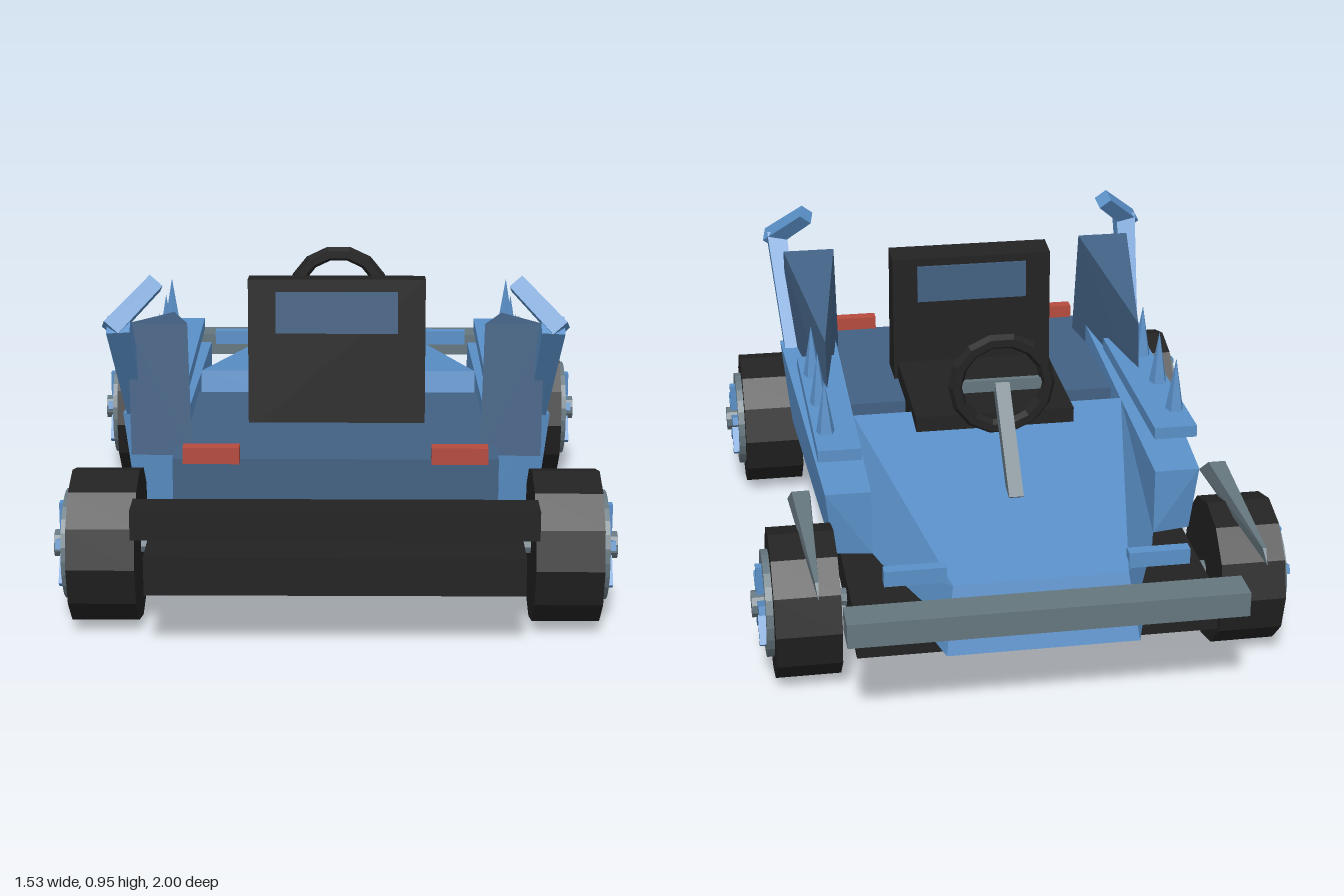
import * as THREE from 'three';
import { ConvexGeometry } from 'three/addons/geometries/ConvexGeometry.js';

const mat = (name, color) => {
  const m = new THREE.MeshStandardMaterial({ color });
  m.name = name;
  return m;
};

export function createModel() {
  const blue = mat('body blue', 0x5a90c8);
  const darkBlue = mat('deck blue', 0x426183);
  const grey = mat('metal grey', 0x65767e);
  const black = mat('rubber black', 0x222222);
  const red = mat('tail light red', 0xb64b3e);
  for (const m of [blue, darkBlue, grey, black, red]) m.flatShading = true;

  const car = new THREE.Group();
  car.name = 'buggy';

  const add = (name, geometry, material, parent = car) => {
    const mesh = new THREE.Mesh(geometry, material);
    mesh.name = name;
    parent.add(mesh);
    return mesh;
  };
  // Box given by its limits on each axis
  const box = (name, material, [x0, x1], [y0, y1], [z0, z1], parent) => {
    const g = new THREE.BoxGeometry(x1 - x0, y1 - y0, z1 - z0);
    g.translate((x0 + x1) / 2, (y0 + y1) / 2, (z0 + z1) / 2);
    return add(name, g, material, parent);
  };
  // Convex solid from corner points
  const solid = (name, material, points) =>
    add(name, new ConvexGeometry(points.map(p => new THREE.Vector3(...p))), material);
  // Side profile [z, y] spanning -w to w across the car
  const prism = (name, material, w, profile) =>
    solid(name, material, profile.flatMap(([z, y]) => [[-w, y, z], [w, y, z]]));
  // Tapered square bar between two points
  const bar = (name, material, from, to, w0, w1 = w0) => {
    const a = new THREE.Vector3(...from), b = new THREE.Vector3(...to);
    const g = new THREE.CylinderGeometry(w1 * Math.SQRT1_2, w0 * Math.SQRT1_2, a.distanceTo(b), 4);
    g.rotateY(Math.PI / 4);
    const mesh = add(name, g, material);
    mesh.position.copy(a).lerp(b, 0.5);
    mesh.quaternion.setFromUnitVectors(new THREE.Vector3(0, 1, 0), b.sub(a).normalize());
    return mesh;
  };

  // Chassis and bumpers
  box('floor', black, [-0.5, 0.5], [0.165, 0.27], [-0.83, 1]);
  box('rearBumper', black, [-0.535, 0.535], [0.31, 0.39], [0.88, 0.98]);
  box('frontBumper', grey, [-0.54, 0.54], [0.295, 0.365], [-1, -0.9]);

  // Hood tapering to the nose, and the rear deck
  solid('hood', blue, [-1, 1].flatMap(s => [
    [s * 0.265, 0.19, -0.9], [s * 0.24, 0.375, -0.85],
    [s * 0.41, 0.5, 0.03], [s * 0.41, 0.25, 0.08],
    [s * 0.5, 0.25, -0.05], [s * 0.42, 0.25, -0.43],
  ]));
  box('rearDeck', darkBlue, [-0.435, 0.435], [0.265, 0.475], [0.17, 0.8]);

  // Seat with a leaning back and an inset plate on both faces
  box('seatCushion', black, [-0.24, 0.235], [0.4, 0.53], [-0.085, 0.4]);
  prism('seatBack', black, 0.247, [[0.35, 0.45], [0.35, 0.87], [0.44, 0.88], [0.475, 0.45]]);
  prism('seatBackRearPlate', darkBlue, 0.17, [[0.43, 0.73], [0.43, 0.845], [0.45, 0.845], [0.46, 0.73]]);
  box('seatBackFrontPlate', darkBlue, [-0.17, 0.17], [0.73, 0.845], [0.343, 0.352]);

  // Steering
  const steeringWheel = add('steeringWheel', new THREE.TorusGeometry(0.135, 0.022, 6, 14), black);
  steeringWheel.position.set(0, 0.675, -0.207);
  box('steeringSpoke', grey, [-0.125, 0.125], [0.655, 0.69], [-0.215, -0.197]);
  bar('steeringColumn', grey, [0, 0.67, -0.205], [0, 0.42, -0.45], 0.042);

  for (const s of [-1, 1]) {
    const side = s > 0 ? 'left' : 'right';
    const span = (a, b) => (s > 0 ? [a, b] : [-b, -a]);
    const mirrored = pts => pts.map(([x, y, z]) => [x * s, y, z]);

    // Side pod, flaring outward to the rear
    solid(side + 'SidePod', blue, mirrored([
      [0.41, 0.27, -0.43], [0.52, 0.27, -0.41], [0.41, 0.465, -0.43], [0.54, 0.465, -0.43],
      [0.41, 0.27, 0.57], [0.56, 0.27, 0.55], [0.41, 0.535, 0.6], [0.587, 0.535, 0.58],
    ]));

    // Spiked rail on the pod
    box(side + 'Rail', blue, span(0.425, 0.55), [0.53, 0.565], [-0.35, 0.36]);
    for (const z of [-0.22, -0.01, 0.21]) {
      const spike = add(side + 'Spike', new THREE.ConeGeometry(0.035, 0.2, 5), blue);
      spike.position.set(s * 0.515, 0.625, z);
    }

    // Rear wing wedge
    solid(side + 'RearWing', darkBlue, mirrored([
      [0.48, 0.705, 0.12], [0.48, 0.48, 0.09],
      [0.4, 0.81, 0.655], [0.56, 0.81, 0.655],
      [0.39, 0.45, 0.69], [0.555, 0.45, 0.69],
    ]));

    // Bent horn
    bar(side + 'HornStem', blue, [s * 0.55, 0.5, 0.53], [s * 0.573, 0.835, 0.76], 0.045, 0.062);
    bar(side + 'HornTip', blue, [s * 0.595, 0.82, 0.765], [s * 0.482, 0.925, 0.67], 0.05, 0.045);

    // Front fender blade
    solid(side + 'FrontFender', grey, mirrored([
      [0.572, 0.405, -0.31], [0.638, 0.405, -0.31], [0.58, 0.46, -0.38], [0.63, 0.46, -0.38],
      [0.6, 0.435, -0.885], [0.61, 0.435, -0.885], [0.605, 0.4, -0.92],
    ]));

    // Lights
    box(side + 'HeadLight', blue, span(0.25, 0.42), [0.365, 0.41], [-0.81, -0.775]);
    box(side + 'TailLight', red, span(0.255, 0.405), [0.47, 0.515], [0.79, 0.83]);

    // Wheels, built facing +z and turned outward
    for (const [end, z] of [['Front', -0.56], ['Rear', 0.73]]) {
      const wheel = new THREE.Group();
      wheel.name = side + end + 'Wheel';
      wheel.position.set(s * 0.625, 0.21, z);
      wheel.rotation.y = s * Math.PI / 2;
      car.add(wheel);
      const disc = (name, r, z0, z1, n, m) => {
        const g = new THREE.CylinderGeometry(r, r, z1 - z0, n);
        g.rotateX(Math.PI / 2).translate(0, 0, (z0 + z1) / 2);
        return add(name, g, m, wheel);
      };
      disc('tire', 0.21, -0.095, 0.087, 12, black);
      disc('axle', 0.026, -0.18, 0, 8, grey);
      disc('hub', 0.038, 0.08, 0.14, 10, grey);
      const ring = new THREE.Shape().absarc(0, 0, 0.15, 0, Math.PI * 2);
      ring.holes.push(new THREE.Path().absarc(0, 0, 0.113, 0, Math.PI * 2, true));
      const rim = new THREE.ExtrudeGeometry(ring, { depth: 0.025, bevelEnabled: false, curveSegments: 12 });
      add('rim', rim.translate(0, 0, 0.082), grey, wheel);
      for (let i = 0; i < 5; i++) {
        const spoke = box('spoke', blue, [-0.013, 0.013], [0.02, 0.118], [0.08, 0.125], wheel);
        spoke.rotation.z = i * Math.PI * 2 / 5;
      }
    }
  }
  return car;
}
